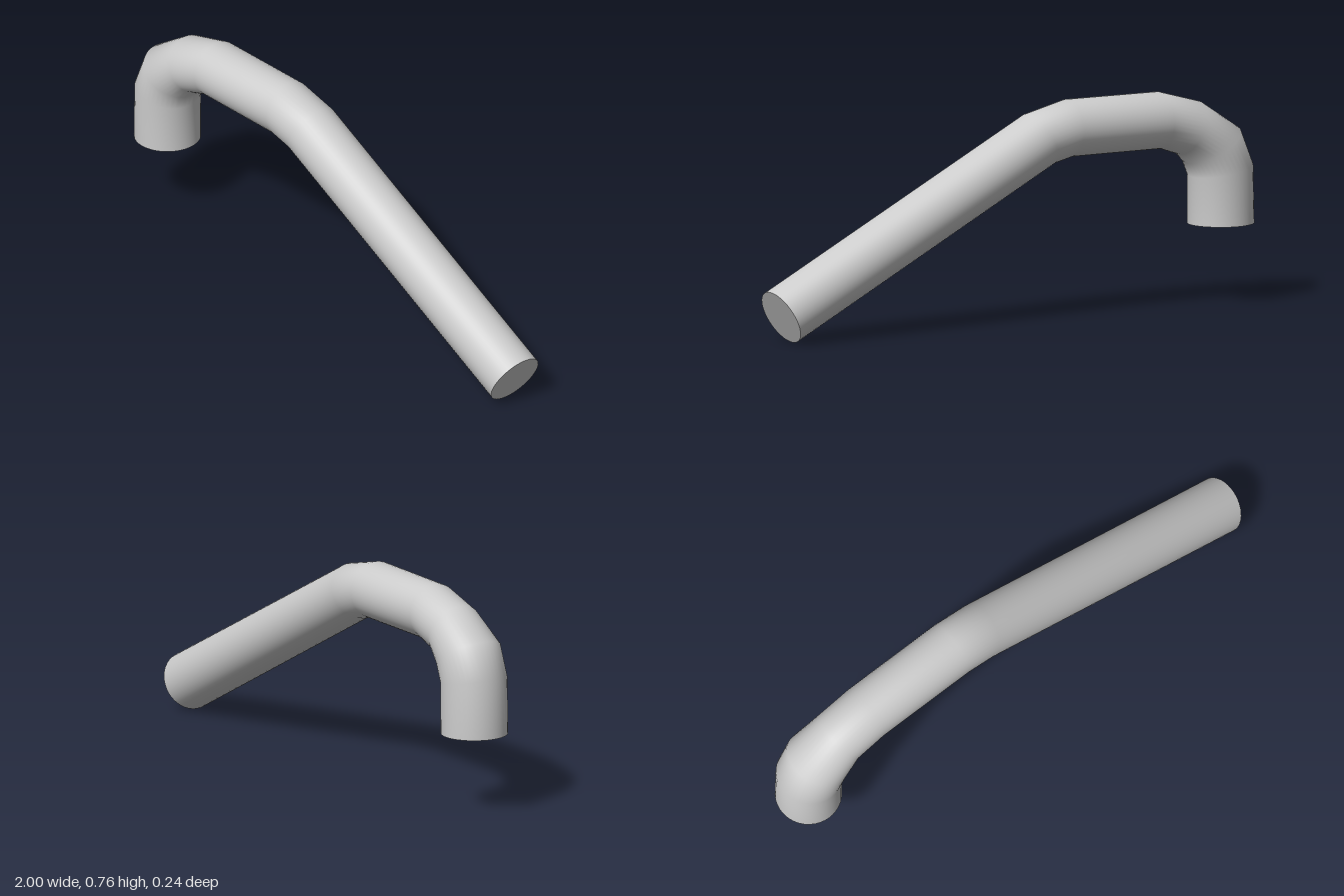
import * as THREE from 'three';

const SIDES = 40;

// Stations along the pipe: outer x, outer y, inner x, inner y, half depth
const STATIONS = [
  [-1.0, 0.28, -0.765, 0.28, 0.118],
  [-0.995, 0.49, -0.765, 0.45, 0.118],
  [-0.942, 0.618, -0.744, 0.5, 0.118],
  [-0.792, 0.717, -0.708, 0.535, 0.103],
  [-0.626, 0.763, -0.624, 0.563, 0.102],
  [-0.246, 0.767, -0.248, 0.565, 0.102],
  [-0.08, 0.728, -0.171, 0.547, 0.102],
  [0.998, 0.187, 0.905, 0.003, 0.102],
];

// Elliptical cross-section spanning the outer and inner edge of the bend
function ring([ox, oy, ix, iy, depth]) {
  const centre = new THREE.Vector3((ox + ix) / 2, (oy + iy) / 2, 0);
  const points = [];
  for (let j = 0; j < SIDES; j++) {
    const t = (j / SIDES) * Math.PI * 2;
    points.push(new THREE.Vector3(
      centre.x + (Math.cos(t) * (ox - ix)) / 2,
      centre.y + (Math.cos(t) * (oy - iy)) / 2,
      Math.sin(t) * depth
    ));
  }
  return { centre, points };
}

function build(name, points, index, material) {
  const geometry = new THREE.BufferGeometry().setFromPoints(points);
  geometry.setIndex(index);
  geometry.computeVertexNormals();
  const mesh = new THREE.Mesh(geometry, material);
  mesh.name = name;
  return mesh;
}

// Flat end disc with its own normals, so the rim stays sharp
function cap(name, { centre, points }, flip, material) {
  const index = [];
  for (let j = 0; j < SIDES; j++) {
    const k = (j + 1) % SIDES;
    index.push(SIDES, flip ? k : j, flip ? j : k);
  }
  return build(name, [...points, centre], index, material);
}

export function createModel() {
  const group = new THREE.Group();
  group.name = 'bentPipe';
  const material = new THREE.MeshStandardMaterial({ color: 0xcccccc });
  const rings = STATIONS.map(ring);

  // Smooth pipe wall lofted through the rings
  const index = [];
  for (let i = 0; i < rings.length - 1; i++) {
    for (let j = 0; j < SIDES; j++) {
      const k = (j + 1) % SIDES;
      const a = i * SIDES + j, b = i * SIDES + k;
      index.push(a, b, a + SIDES, b, b + SIDES, a + SIDES);
    }
  }
  group.add(build('pipeWall', rings.flatMap((r) => r.points), index, material));

  // End faces
  group.add(cap('shortEndCap', rings[0], true, material));
  group.add(cap('longEndCap', rings[rings.length - 1], false, material));
  return group;
}
